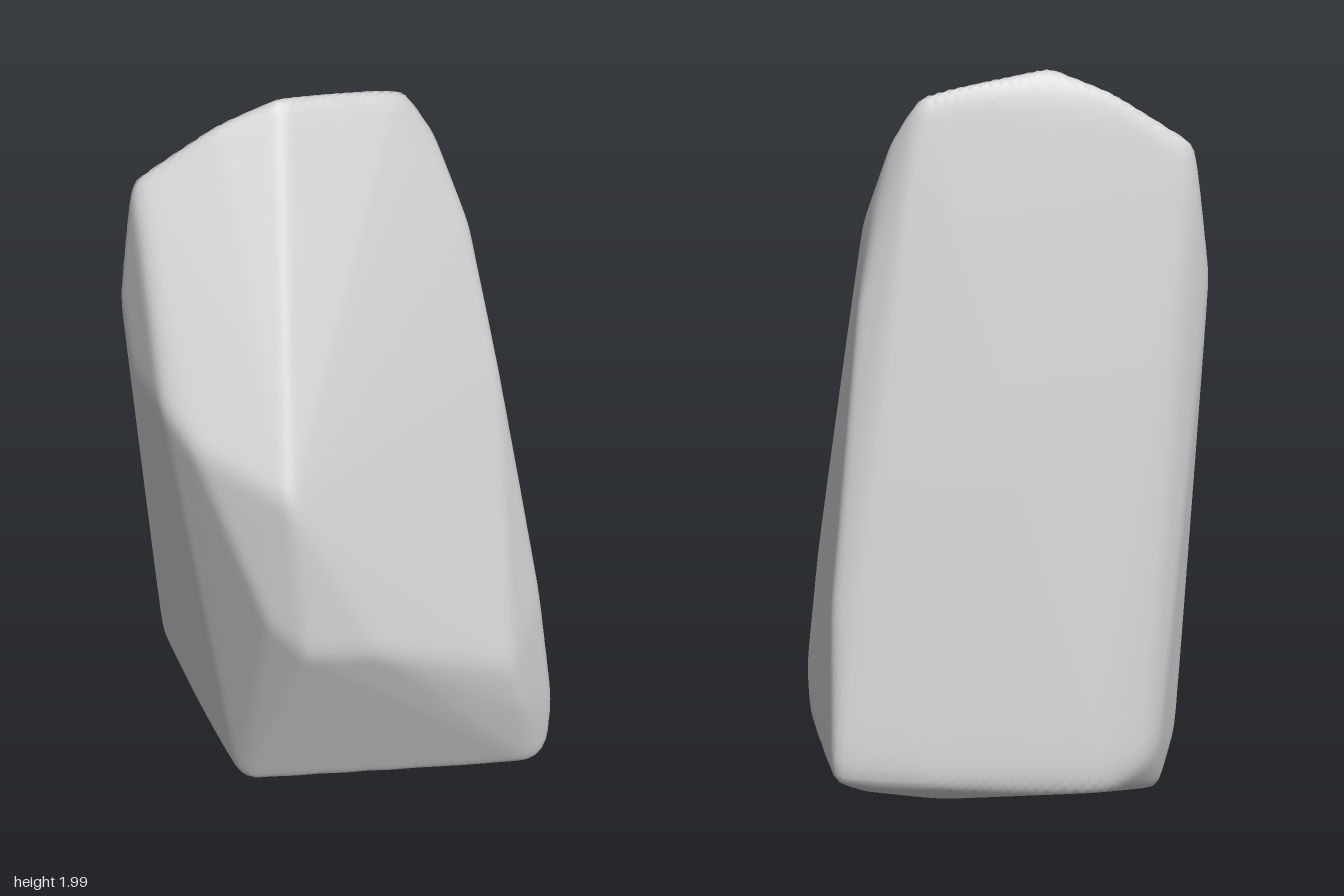
import * as THREE from 'three';
import { ConvexGeometry } from 'three/addons/geometries/ConvexGeometry.js';
import { mergeVertices } from 'three/addons/utils/BufferGeometryUtils.js';

// Corner points along the main edges of the boulder
const EDGES = {
  topRidge: [[-0.53, 1.825, 0.1], [-0.33, 1.945, 0.04], [-0.17, 2.01, 0], [0.11, 1.96, -0.17], [0.185, 1.84, -0.17]],
  backRight: [[0.23, 1.65, -0.2], [0.245, 1.4, -0.29], [0.25, 1.03, -0.38], [0.262, 0.68, -0.47], [0.23, 0.245, -0.57], [0.28, 0.27, -0.475]],
  frontRight: [[0.29, 1.6, -0.1], [0.38, 1.25, 0.02], [0.44, 0.95, 0.08], [0.52, 0.6, 0.15], [0.57, 0.25, 0.18], [0.565, 0.085, 0.19], [0.53, 0.045, 0.22]],
  frontBrow: [[0.5, 0.32, 0.3], [0.46, 0.5, 0.34], [0.2, 0.66, 0.48], [0.13, 0.68, 0.52], [-0.06, 0.7, 0.567], [-0.16, 0.78, 0.54], [-0.1, 1.15, 0.525]],
  frontLeft: [[-0.43, 1.33, 0.39], [-0.35, 1.25, 0.45], [-0.285, -0.005, 0.295], [-0.25, 0, 0.315]],
  leftSide: [[-0.548, 1.7, 0.1], [-0.573, 1.48, 0.11], [-0.53, 1.32, 0.22], [-0.53, 0.7, 0.09], [-0.53, 0.25, 0], [-0.51, 0.125, -0.1], [-0.4, 0.055, 0.12]],
  backLeft: [[-0.53, 1.2, 0.04], [-0.53, 0.28, -0.19], [-0.505, 0.25, -0.245], [-0.405, 0.19, -0.325]],
  underside: [[0.2, 0.16, -0.42], [0, 0.155, -0.4], [-0.1, 0.1, -0.2], [0.3, 0.1, -0.15]],
};
const CENTER = new THREE.Vector3(-0.02, 0.95, 0.03);

// Facet planes of the solid spanned by the corners
function facetPlanes(points) {
  const pos = new ConvexGeometry(points).attributes.position;
  const planes = [];
  for (let i = 0; i < pos.count; i += 3) {
    const [a, b, c] = [0, 1, 2].map(k => new THREE.Vector3().fromBufferAttribute(pos, i + k));
    const n = b.clone().sub(a).cross(c.sub(a));
    if (n.length() < 1e-7) continue;
    n.normalize();
    planes.push({ n, d: n.dot(a.sub(CENTER)) });
  }
  return planes;
}

// Moves each vertex part of the way to the mean of its neighbours
function soften(geo, passes, amount) {
  const pos = geo.attributes.position, index = geo.index.array;
  for (let p = 0; p < passes; p++) {
    const sum = new Float32Array(pos.count * 3), count = new Float32Array(pos.count);
    for (let i = 0; i < index.length; i++) {
      const a = index[i], b = index[i % 3 === 2 ? i - 2 : i + 1];
      sum[a * 3] += pos.getX(b);
      sum[a * 3 + 1] += pos.getY(b);
      sum[a * 3 + 2] += pos.getZ(b);
      count[a]++;
    }
    for (let i = 0; i < pos.count; i++) {
      const mix = (v, k) => v + (sum[i * 3 + k] / count[i] - v) * amount;
      pos.setXYZ(i, mix(pos.getX(i), 0), mix(pos.getY(i), 1), mix(pos.getZ(i), 2));
    }
  }
}

export function createModel() {
  const planes = facetPlanes(Object.values(EDGES).flat().map(p => new THREE.Vector3(...p)));

  // Dense ball pressed onto the facets
  let geo = new THREE.IcosahedronGeometry(1, 48);
  geo.deleteAttribute('normal');
  geo.deleteAttribute('uv');
  geo = mergeVertices(geo, 1e-4);
  const pos = geo.attributes.position, v = new THREE.Vector3();
  const spread = new THREE.Vector3(0.55, 1, 0.5);
  for (let i = 0; i < pos.count; i++) {
    v.fromBufferAttribute(pos, i).multiply(spread).normalize();
    let r = Infinity;
    for (const { n, d } of planes) {
      const facing = n.dot(v);
      if (facing > 1e-6) r = Math.min(r, d / facing);
    }
    v.multiplyScalar(r).add(CENTER);
    pos.setXYZ(i, v.x, v.y, v.z);
  }

  // Worn edges
  soften(geo, 3, 0.5);
  geo.computeVertexNormals();

  const boulder = new THREE.Mesh(geo, new THREE.MeshStandardMaterial({ color: 0xcccccc }));
  boulder.name = 'boulder';
  const group = new THREE.Group();
  group.name = 'rock';
  group.add(boulder);
  return group;
}
